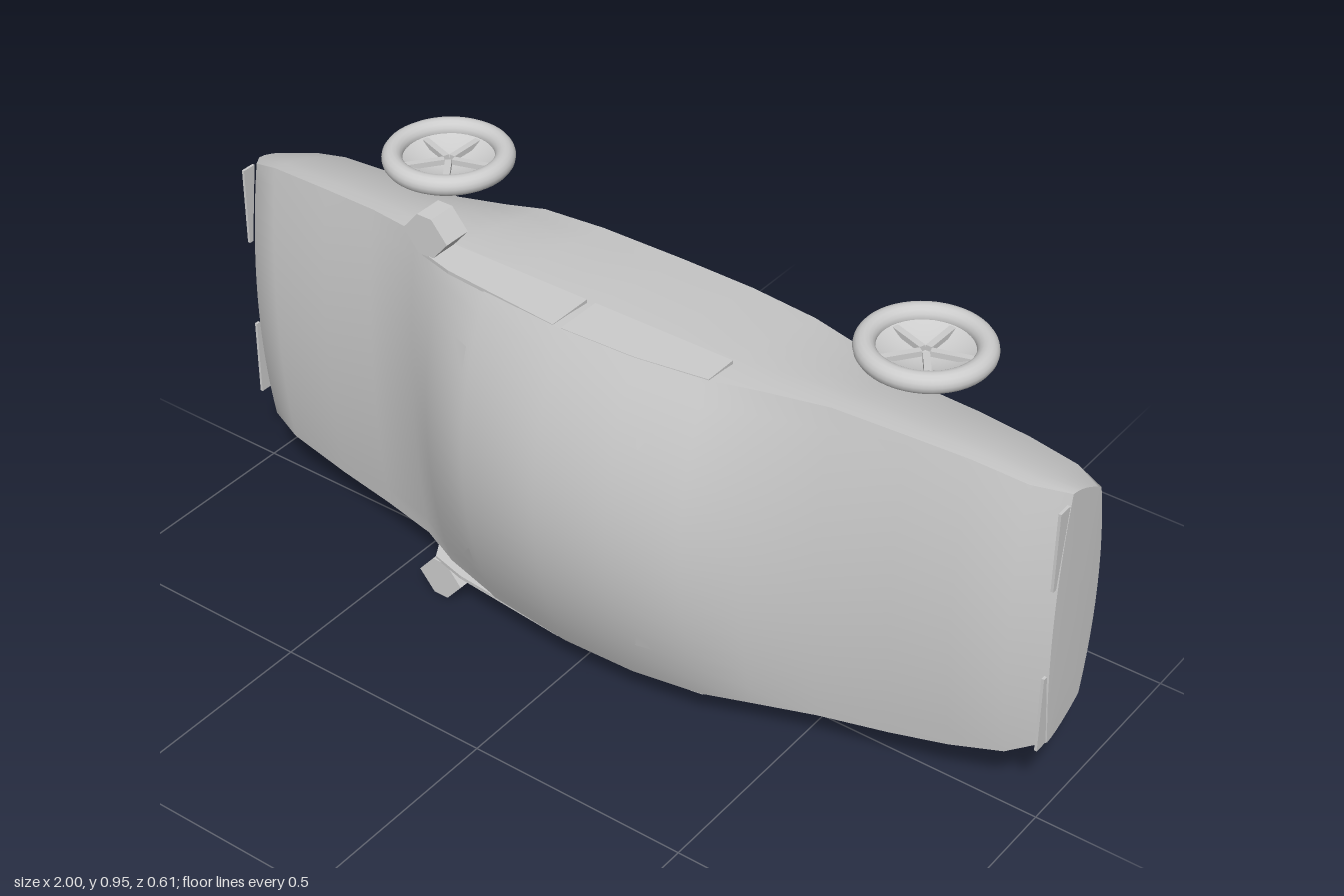
import * as THREE from 'three';
import { toCreasedNormals } from 'three/addons/utils/BufferGeometryUtils.js';

// Body stations: x, roof z, shoulder z, shoulder half width, floor z, floor half width
const STATIONS = [
  [-0.995, 0.0, -0.025, 0.295, -0.165, 0.25],
  [-0.95, 0.06, 0.03, 0.322, -0.185, 0.26],
  [-0.88, 0.075, 0.048, 0.345, -0.198, 0.268],
  [-0.72, 0.095, 0.068, 0.362, -0.21, 0.27],
  [-0.58, 0.11, 0.083, 0.373, -0.214, 0.272],
  [-0.45, 0.135, 0.105, 0.38, -0.216, 0.3],
  [-0.35, 0.21, 0.15, 0.382, -0.218, 0.325],
  [-0.2, 0.28, 0.19, 0.384, -0.22, 0.335],
  [0, 0.305, 0.21, 0.385, -0.22, 0.337],
  [0.17, 0.297, 0.205, 0.385, -0.22, 0.335],
  [0.32, 0.26, 0.18, 0.384, -0.218, 0.325],
  [0.42, 0.195, 0.145, 0.381, -0.216, 0.305],
  [0.55, 0.135, 0.103, 0.375, -0.214, 0.272],
  [0.7, 0.105, 0.075, 0.36, -0.21, 0.27],
  [0.82, 0.08, 0.05, 0.345, -0.2, 0.268],
  [0.93, 0.055, 0.025, 0.322, -0.188, 0.26],
  [0.995, 0.0, -0.025, 0.3, -0.165, 0.25],
];
const CENTER_Y = 0.474;

// Half cross-section from roof centre to floor centre, as [y, z]
function halfSection([, zt, zs, w, zb, wb]) {
  const pts = [];
  const zl = zb + 0.03;
  for (let i = 0; i <= 8; i++) pts.push([w * i / 8, zt - (zt - zs) * (i / 8) ** 2]);
  for (let i = 1; i <= 7; i++) {
    const t = i / 7;
    pts.push([w + (wb - w) * t ** 1.5, zs + (zl - zs) * t]);
  }
  for (let i = 1; i <= 6; i++) {
    const s = 1 - i / 6;
    pts.push([wb * s, zb + (zl - zb) * s * s]);
  }
  return pts;
}

function bodyGeometry() {
  const pos = [], idx = [];
  let n = 0;
  for (const st of STATIONS) {
    const half = halfSection(st);
    const ring = [...half, ...half.slice(1, -1).reverse().map(([y, z]) => [-y, z])];
    n = ring.length;
    for (const [y, z] of ring) pos.push(st[0], y, z);
  }
  const last = STATIONS.length - 1;
  for (let s = 0; s < last; s++) {
    for (let i = 0; i < n; i++) {
      const j = (i + 1) % n, a = s * n + i, c = s * n + j;
      idx.push(a, a + n, c, c, a + n, c + n);
    }
  }
  // end caps
  const c0 = pos.length / 3;
  pos.push(-0.998, 0, -0.09, 0.998, 0, -0.09);
  for (let i = 0; i < n; i++) {
    const j = (i + 1) % n;
    idx.push(c0, i, j, c0 + 1, last * n + j, last * n + i);
  }
  const g = new THREE.BufferGeometry();
  g.setAttribute('position', new THREE.Float32BufferAttribute(pos, 3));
  g.setIndex(idx);
  return toCreasedNormals(g, 0.75);
}

// Thin plate or prism from an outline, centred on its depth
function plate(points, depth) {
  const shape = new THREE.Shape(points.map(([x, y]) => new THREE.Vector2(x, y)));
  return new THREE.ExtrudeGeometry(shape, { depth, bevelEnabled: false }).translate(0, 0, -depth / 2);
}

// Roof height at a given x and y
function roofZ(x, y) {
  const k = Math.max(1, STATIONS.findIndex((s) => s[0] >= x));
  const a = STATIONS[k - 1], b = STATIONS[k], t = (x - a[0]) / (b[0] - a[0]);
  const [zt, zs, w] = [1, 2, 3].map((i) => a[i] + (b[i] - a[i]) * t);
  return zt - (zt - zs) * (y / w) ** 2;
}

export function createModel() {
  const model = new THREE.Group();
  model.name = 'car';
  const car = new THREE.Group();
  car.name = 'carOnItsSide';
  car.position.y = CENTER_Y;
  model.add(car);

  const grey = new THREE.MeshStandardMaterial({ color: 0xcccccc, side: THREE.DoubleSide });
  grey.name = 'plain grey';
  const add = (name, geometry, parent = car) => {
    const mesh = new THREE.Mesh(geometry, grey);
    mesh.name = name;
    parent.add(mesh);
    return mesh;
  };

  add('body', bodyGeometry());

  // wheels: round tyre, dished disc bulging inward, five spokes
  const tyre = new THREE.TorusGeometry(0.118, 0.022, 16, 48);
  const dishProfile = [];
  for (let i = 0; i <= 8; i++) {
    const r = 0.102 * i / 8;
    dishProfile.push(new THREE.Vector2(r, -0.028 * (1 - (i / 8) ** 2)));
  }
  const dish = new THREE.LatheGeometry(dishProfile, 40).rotateX(Math.PI / 2);
  const spoke = new THREE.BoxGeometry(0.09, 0.014, 0.012).translate(0.055, 0, -0.01);
  for (const x of [-0.585, 0.585]) {
    for (const side of [-1, 1]) {
      const wheel = new THREE.Group();
      wheel.name = 'wheel';
      wheel.position.set(x, side * 0.379, -0.165);
      wheel.rotation.x = -side * Math.PI / 2;
      add('tyre', tyre, wheel);
      add('wheelDisc', dish, wheel);
      for (let i = 0; i < 5; i++) add('spoke', spoke, wheel).rotation.z = i * Math.PI * 0.4 + 0.3;
      car.add(wheel);
    }
  }

  // side windows and hexagonal door mirrors
  const frontWindow = plate([[-0.42, 0.1], [-0.02, 0.1], [-0.02, 0.208], [-0.3, 0.182], [-0.385, 0.16]], 0.008).rotateX(Math.PI / 2);
  const rearWindow = plate([[0, 0.1], [0.325, 0.1], [0.325, 0.178], [0.17, 0.202], [0, 0.208]], 0.008).rotateX(Math.PI / 2);
  const mirror = plate([[-0.056, 0], [-0.018, -0.045], [0.018, -0.045], [0.056, 0], [0.018, 0.045], [-0.018, 0.045]], 0.065);
  for (const side of [-1, 1]) {
    add('frontSideWindow', frontWindow).position.y = side * 0.382;
    add('rearSideWindow', rearWindow).position.y = side * 0.382;
    add('doorMirror', mirror).position.set(-0.371, side * 0.429, 0.1325);

    // slanted lamp strips on both ends
    const lamp = plate([[-0.025, side * 0.285], [0.008, side * 0.285], [-0.015, side * 0.105], [-0.025, side * 0.105]], 0.006).rotateY(Math.PI / 2);
    for (const end of [-1, 1]) add('lamp', lamp).position.x = end * 0.997;

    // exposed corners of the windscreen and rear window
    for (const tri of [[[-0.255, 0.27], [-0.215, 0.27], [-0.215, 0.22]], [[0.21, 0.265], [0.247, 0.265], [0.22, 0.225]]]) {
      const g = new THREE.BufferGeometry();
      const order = side > 0 ? [0, 2, 1] : [0, 1, 2];
      g.setAttribute('position', new THREE.Float32BufferAttribute(order.flatMap((i) => {
        const [x, y] = tri[i];
        return [x, side * y, roofZ(x, y) + 0.006];
      }), 3));
      g.computeVertexNormals();
      add('windowCorner', g);
    }
  }
  return model;
}
